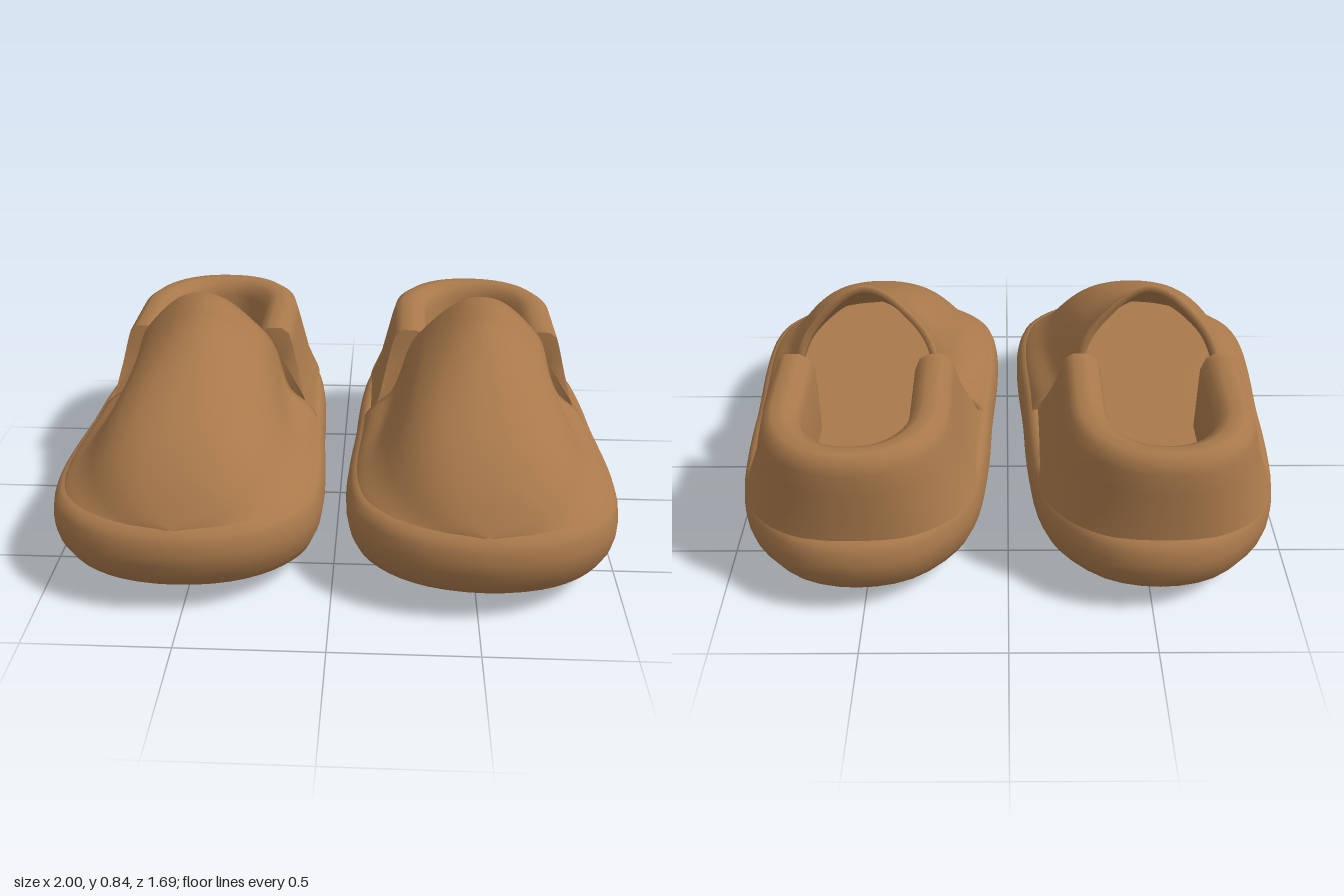
import * as THREE from 'three';
import { toCreasedNormals } from 'three/addons/utils/BufferGeometryUtils.js';

const V = (x, y, z) => new THREE.Vector3(x, y, z);

// Linear lookup in a table of [input, output] pairs with rising inputs
function lookup(table, k) {
  if (k <= table[0][0]) return table[0][1];
  for (let i = 1; i < table.length; i++) {
    const [a, p] = table[i - 1], [b, q] = table[i];
    if (k <= b) return p + (q - p) * (k - a) / (b - a || 1);
  }
  return table[table.length - 1][1];
}

// Smooth a table with a spline
const smooth = (pts, n = 80) => new THREE.SplineCurve(pts.map(p => new THREE.Vector2(...p)))
  .getPoints(n).map(p => [p.x, p.y]);

// Skin rows of points into one surface; closed joins the ends of each row
function skin(rows, closed) {
  const n = rows[0].length, pos = [], idx = [];
  rows.forEach(r => r.forEach(p => pos.push(p.x, p.y, p.z)));
  for (let i = 0; i < rows.length - 1; i++) {
    for (let j = 0; j < (closed ? n : n - 1); j++) {
      const k = (j + 1) % n, a = i * n + j, b = i * n + k, c = a + n, d = b + n;
      idx.push(a, c, b, b, c, d);
    }
  }
  const g = new THREE.BufferGeometry();
  g.setAttribute('position', new THREE.Float32BufferAttribute(pos, 3));
  g.setIndex(idx);
  g.computeVertexNormals();
  return g;
}

// Half outline of the sole from heel to toe: [half width, z]
const half = [[0, -0.845], [0.2, -0.8], [0.36, -0.65], [0.42, -0.5], [0.45, -0.25], [0.46, 0],
  [0.477, 0.25], [0.48, 0.4], [0.47, 0.52], [0.435, 0.63], [0.34, 0.74], [0.2, 0.815], [0, 0.845]];
const widthAt = smooth(half, 120).map(([w, z]) => [z, w]);

// Rounded sole: the outline scaled at each height
function soleGeometry() {
  const loop = [...half, ...half.slice(1, -1).reverse().map(([w, z]) => [-w, z])];
  const outline = new THREE.CatmullRomCurve3(loop.map(([x, z]) => V(x, 0, z)), true).getPoints(72).slice(0, -1);
  const profile = [[0, 0], [0.002, 0.35], [0.01, 0.58], [0.03, 0.75], [0.06, 0.865], [0.1, 0.94], [0.15, 0.98],
    [0.2, 0.998], [0.24, 1], [0.28, 0.988], [0.305, 0.97], [0.32, 0.94], [0.325, 0.9], [0.325, 0]];
  return skin(profile.map(([y, s]) => outline.map(p => V(p.x * s, y, p.z * s))), true);
}

// Toe cover: a bell-shaped arch at the opening that becomes a dome at the toe
const bell = [[0, 1], [0.15, 0.97], [0.3, 0.88], [0.48, 0.72], [0.55, 0.63], [0.61, 0.49], [0.65, 0.37],
  [0.74, 0.22], [0.9, 0.12], [1, 0]];
const dome = [[0, 1], [0.18, 0.98], [0.36, 0.9], [0.5, 0.77], [0.6, 0.63], [0.69, 0.47], [0.76, 0.34],
  [0.84, 0.22], [0.94, 0.1], [1, 0]];
const rim = [0.05, 0.04, 0.025, 0.005, -0.02, -0.055, -0.06, -0.015, 0, 0];
const ridge = smooth([[-0.02, 0.845], [0.01, 0.835], [0.05, 0.79], [0.1, 0.753], [0.2, 0.7], [0.3, 0.66],
  [0.4, 0.62], [0.5, 0.578], [0.6, 0.525], [0.7, 0.445], [0.76, 0.375], [0.8, 0.32]]);

function vampRow(s, inner) {
  const t = 1 - (1 - s) ** 1.3, z = -0.06 + 0.86 * t, fade = (1 - t) ** 3;
  const base = 0.3, h = lookup(ridge, z + 0.05 * fade) - base - (inner ? 0.03 : 0);
  const w = 0.96 * lookup(widthAt, z / 0.95) * (inner ? 0.92 : 1);
  const m = THREE.MathUtils.smoothstep(t, 0, 0.6);
  const side = bell.map(([x, y], i) => V(
    w * THREE.MathUtils.lerp(x, dome[i][0], m),
    base + h * THREE.MathUtils.lerp(y, dome[i][1], m),
    z + rim[i] * fade));
  const mirrored = side.slice(1).reverse().map(p => V(-p.x, p.y, p.z));
  return new THREE.CatmullRomCurve3([...mirrored, ...side]).getPoints(54);
}

function vampGeometry() {
  const rows = [], n = 30;
  for (let i = n - 2; i >= 0; i--) rows.push(vampRow(i / n, true));
  for (let i = 0; i <= n; i++) rows.push(vampRow(i / n, false));
  return skin(rows, false);
}

// Padded heel collar: a wall section swept round a U; [half width, back, height, front z]
const wall = [[0.41, 0.8, 0.31, -0.04], [0.37, 0.797, 0.4, -0.07], [0.345, 0.795, 0.5, -0.13],
  [0.325, 0.793, 0.58, -0.15], [0.312, 0.782, 0.623, -0.157], [0.283, 0.757, 0.643, -0.16],
  [0.235, 0.72, 0.643, -0.16], [0.2, 0.69, 0.625, -0.162], [0.182, 0.668, 0.58, -0.168],
  [0.18, 0.66, 0.31, -0.17]];

function collarRow(v) {
  const u = v * 2 - 1, k = Math.abs(u), side = Math.sign(u) || 1, mid = -0.45;
  return wall.map(([a, b, y, front]) => {
    if (k > 0.65) return V(side * a, y, THREE.MathUtils.lerp(mid, front, (k - 0.65) / 0.35));
    const ang = (k / 0.65) * Math.PI / 2;
    return V(side * a * Math.sin(ang) ** 0.9, y, mid - (b + mid) * Math.cos(ang) ** 0.9);
  });
}

function collarGeometry() {
  const rows = [], n = 60;
  for (let i = 0; i <= n; i++) rows.push(collarRow(i / n));
  // close both ends
  const cap = r => {
    const c = r.reduce((s, p) => s.add(p), V(0, 0, 0)).divideScalar(r.length);
    return r.map(() => c.clone());
  };
  rows.unshift(cap(rows[0]));
  rows.push(cap(rows[rows.length - 1]));
  return toCreasedNormals(skin(rows, true), 0.9);
}

export function createModel() {
  const brown = new THREE.MeshStandardMaterial({ color: 0xa9794b, side: THREE.DoubleSide });
  brown.name = 'brown';
  const parts = { sole: soleGeometry(), toeCover: vampGeometry(), heelCollar: collarGeometry() };
  const model = new THREE.Group();
  model.name = 'slippers';
  for (const [name, x] of [['leftSlipper', 0.52], ['rightSlipper', -0.52]]) {
    const slipper = new THREE.Group();
    slipper.name = name;
    slipper.position.x = x;
    for (const [part, geometry] of Object.entries(parts)) {
      const mesh = new THREE.Mesh(geometry, brown);
      mesh.name = part;
      slipper.add(mesh);
    }
    model.add(slipper);
  }
  return model;
}
